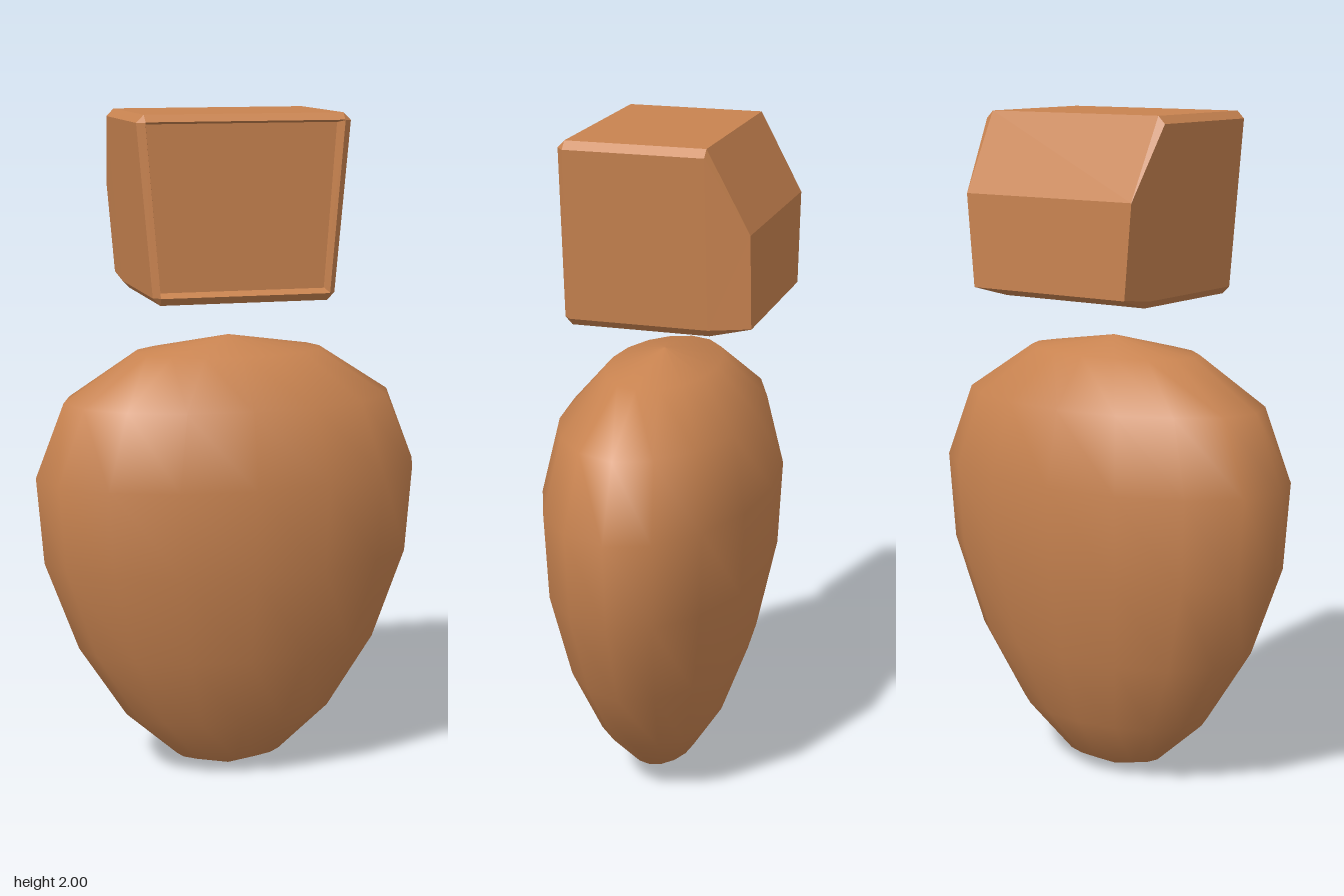
import * as THREE from 'three';

// Eight-point tapered ring with cut corners, counter-clockwise seen from the front
function section(z, bottom, top, halfBottom, halfTop, cut) {
  const right = [
    [halfBottom - cut, bottom], [halfBottom, bottom + cut],
    [halfTop, top - cut], [halfTop - cut, top],
  ];
  const left = right.map(([x, y]) => [-x, y]).reverse();
  return [...right, ...left].map(([x, y]) => new THREE.Vector3(x, y, z));
}

// Faceted skin through rings ordered along the surface, closed at both ends
function loft(rings) {
  const points = [];
  const n = rings[0].length;
  for (let r = 0; r < rings.length - 1; r++) {
    const a = rings[r], b = rings[r + 1];
    for (let i = 0; i < n; i++) {
      const j = (i + 1) % n;
      points.push(a[i], b[j], a[j], a[i], b[i], b[j]);
    }
  }
  const first = rings[0], last = rings[rings.length - 1];
  for (let i = 1; i < n - 1; i++) {
    points.push(first[0], first[i], first[i + 1]);
    points.push(last[0], last[i + 1], last[i]);
  }
  const geometry = new THREE.BufferGeometry().setFromPoints(points);
  geometry.computeVertexNormals();
  return geometry;
}

export function createModel() {
  const model = new THREE.Group();
  const clay = new THREE.MeshStandardMaterial({ color: 0xc88350 });
  clay.name = 'clay brown';

  // Smooth body, wide at the shoulders and flattened front to back
  const profile = [
    [0, 0.005], [0.162, 0.05], [0.32, 0.19], [0.463, 0.41], [0.563, 0.68],
    [0.584, 0.94], [0.498, 1.16], [0.283, 1.3], [0, 1.345],
  ].map(([x, y]) => new THREE.Vector2(x, y));
  const bodyGeometry = new THREE.LatheGeometry(profile, 16);
  bodyGeometry.scale(1, 1, 0.573);
  const body = new THREE.Mesh(bodyGeometry, clay);
  body.name = 'body';
  model.add(body);

  // Floating head: recessed face, bevelled rim, tapered case and sloped back
  const head = new THREE.Mesh(loft([
    section(0.175, 1.497, 1.972, 0.245, 0.28, 0.001),
    section(0.22, 1.487, 1.98, 0.25, 0.291, 0.001),
    section(0.2, 1.465, 2, 0.269, 0.313, 0.022),
    section(-0.205, 1.465, 2, 0.269, 0.313, 0.022),
    section(-0.33, 1.5, 1.77, 0.266, 0.289, 0.001),
  ]), clay);
  head.name = 'head';
  head.position.x = -0.005;
  model.add(head);

  return model;
}
